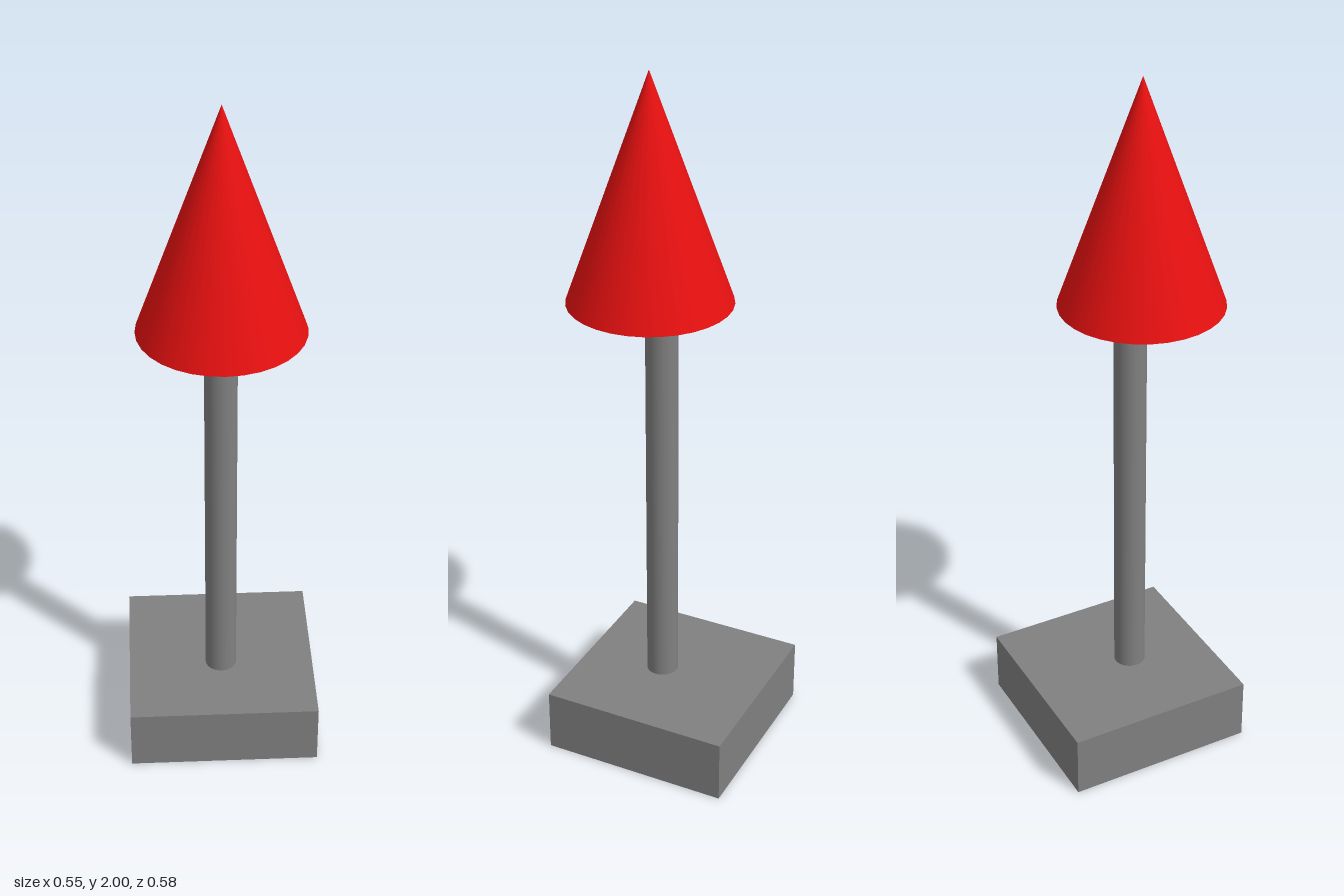
import * as THREE from 'three';

export function createModel() {
  const grey = new THREE.MeshStandardMaterial({ color: 0x808080 });
  grey.name = 'grey';
  const red = new THREE.MeshStandardMaterial({ color: 0xee1111 });
  red.name = 'red';

  const model = new THREE.Group();
  model.name = 'coneOnPost';

  const add = (name, geometry, material, y, z) => {
    const mesh = new THREE.Mesh(geometry, material);
    mesh.name = name;
    mesh.position.set(0, y, z);
    model.add(mesh);
  };

  // Square base block, set slightly back
  const baseHeight = 0.185;
  add('base', new THREE.BoxGeometry(0.547, baseHeight, 0.547), grey, baseHeight / 2, -0.0155);

  // Round post from the base to the underside of the cone
  const coneBottom = 1.365;
  const postHeight = coneBottom - baseHeight;
  add('post', new THREE.CylinderGeometry(0.0455, 0.0455, postHeight, 32), grey, baseHeight + postHeight / 2, 0.024);

  // Pointed cone, offset a little to the front
  const coneHeight = 2 - coneBottom;
  add('cone', new THREE.ConeGeometry(0.228, coneHeight, 32), red, coneBottom + coneHeight / 2, 0.0585);

  return model;
}
